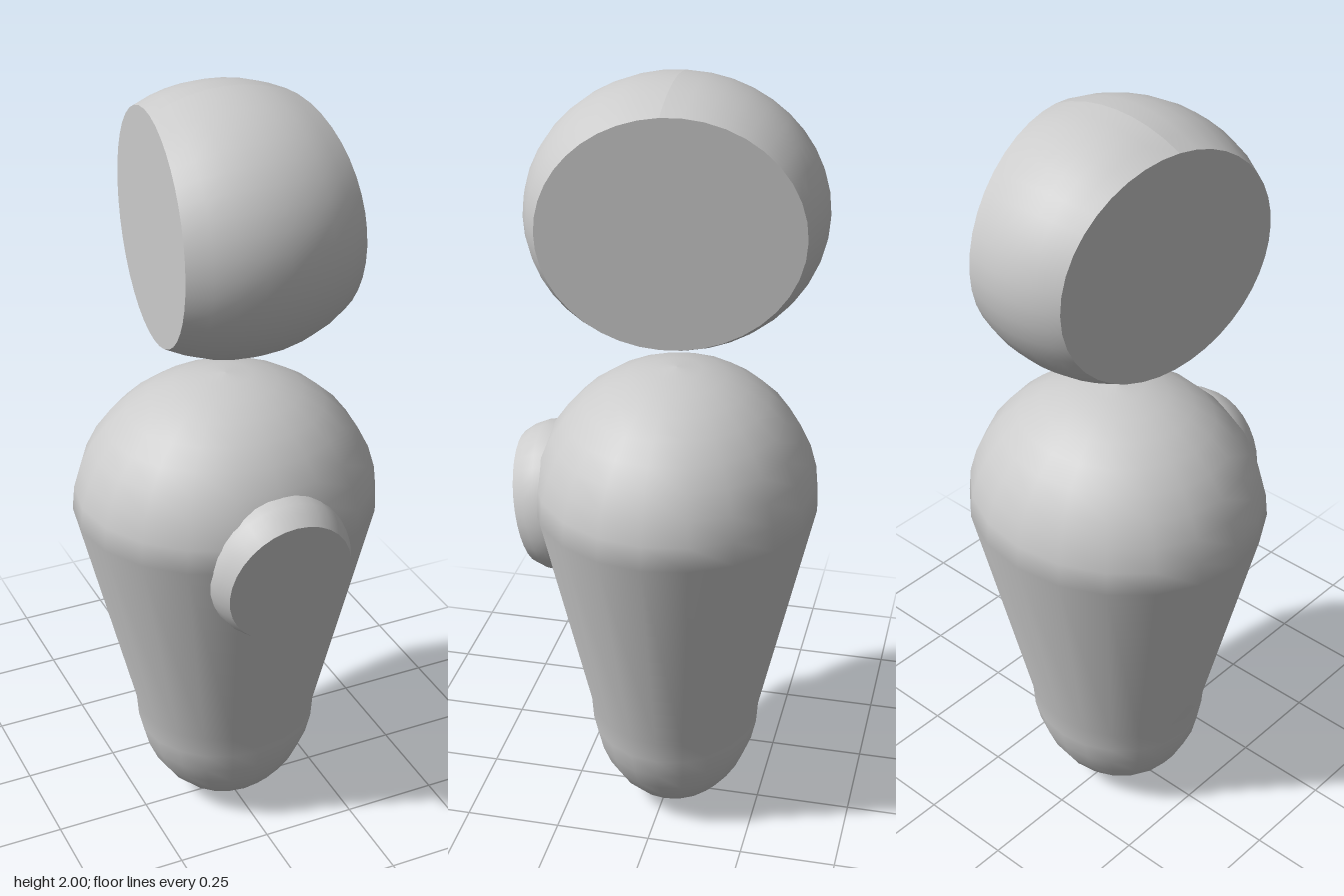
import * as THREE from 'three';

const material = new THREE.MeshStandardMaterial({ color: 0xcccccc });
const CENTRE_Z = -0.02;

function addMesh(parent, name, geometry) {
  const mesh = new THREE.Mesh(geometry, material);
  mesh.name = name;
  parent.add(mesh);
  return mesh;
}

// Quarter ellipse of profile points between two angles
function arc(radius, height, y, from, to, steps) {
  return Array.from({ length: steps + 1 }, (_, i) => {
    const a = from + ((to - from) * i) / steps;
    return new THREE.Vector2(Math.max(0, radius * Math.cos(a)), y + height * Math.sin(a));
  });
}

// Ellipsoid sliced on both sides by flat planes that converge towards the back
function slicedEllipsoid(rx, ry, rz, halfWidth, flare, rings, segments) {
  const positions = [];
  const index = [];
  const ring = (t) => {
    const start = positions.length / 3;
    for (let j = 0; j <= segments; j++) {
      const a = (j / segments) * Math.PI * 2;
      const b = rz * Math.sin(a);
      const q = (t * t) / (rx * rx);
      // Distance from the centre at which the slanted plane meets the ellipsoid
      const A = 1 + q * flare * flare * b * b;
      const B = 2 * q * halfWidth * flare * b;
      const C = q * halfWidth * halfWidth - 1;
      const s = (-B + Math.sqrt(B * B - 4 * A * C)) / (2 * A);
      positions.push(t * (halfWidth + flare * s * b), s * ry * Math.cos(a), s * b);
    }
    return start;
  };
  // Curved band
  let previous = ring(-1);
  for (let i = 1; i <= rings; i++) {
    const next = ring(-1 + (2 * i) / rings);
    for (let j = 0; j < segments; j++) {
      const p = previous + j;
      const n = next + j;
      index.push(p, p + 1, n, p + 1, n + 1, n);
    }
    previous = next;
  }
  // Flat side faces, with their own vertices for crisp edges
  for (const side of [-1, 1]) {
    const start = ring(side);
    const centre = positions.length / 3;
    positions.push(side * halfWidth, 0, 0);
    for (let j = 0; j < segments; j++) {
      const p = start + j;
      if (side > 0) index.push(centre, p, p + 1);
      else index.push(centre, p + 1, p);
    }
  }
  const geometry = new THREE.BufferGeometry();
  geometry.setAttribute('position', new THREE.Float32BufferAttribute(positions, 3));
  geometry.setIndex(index);
  geometry.computeVertexNormals();
  return geometry;
}

export function createModel() {
  const model = new THREE.Group();
  model.name = 'figure';

  // Tapered body: rounded foot, straight flank, domed shoulders
  const profile = [
    ...arc(0.245, 0.305, 0.305, -Math.PI / 2, 0, 8),
    ...arc(0.395, 0.36, 0.91, 0, Math.PI / 2, 9),
  ];
  const body = addMesh(model, 'body', new THREE.LatheGeometry(profile, 20));
  body.scale.z = 0.92;
  body.position.z = CENTRE_Z;

  // Floating head with flat slanted sides
  const head = addMesh(model, 'head', slicedEllipsoid(0.37, 0.325, 0.365, 0.187, 0.137, 8, 40));
  head.position.set(0, 1.675, CENTRE_Z);

  // Flat-faced chest disc; the doubled point keeps the rim sharp
  const rim = [[0.175, -0.15], [0.185, -0.09], [0.185, -0.06], [0.178, -0.03], [0.163, 0], [0.163, 0], [0, 0]];
  const disc = addMesh(
    model,
    'chestDisc',
    new THREE.LatheGeometry(rim.map(([x, y]) => new THREE.Vector2(x, y)), 32),
  );
  disc.scale.z = 1.08;
  disc.rotation.x = Math.PI / 2 + 0.17;
  disc.position.set(0.005, 0.867, 0.355);

  return model;
}
